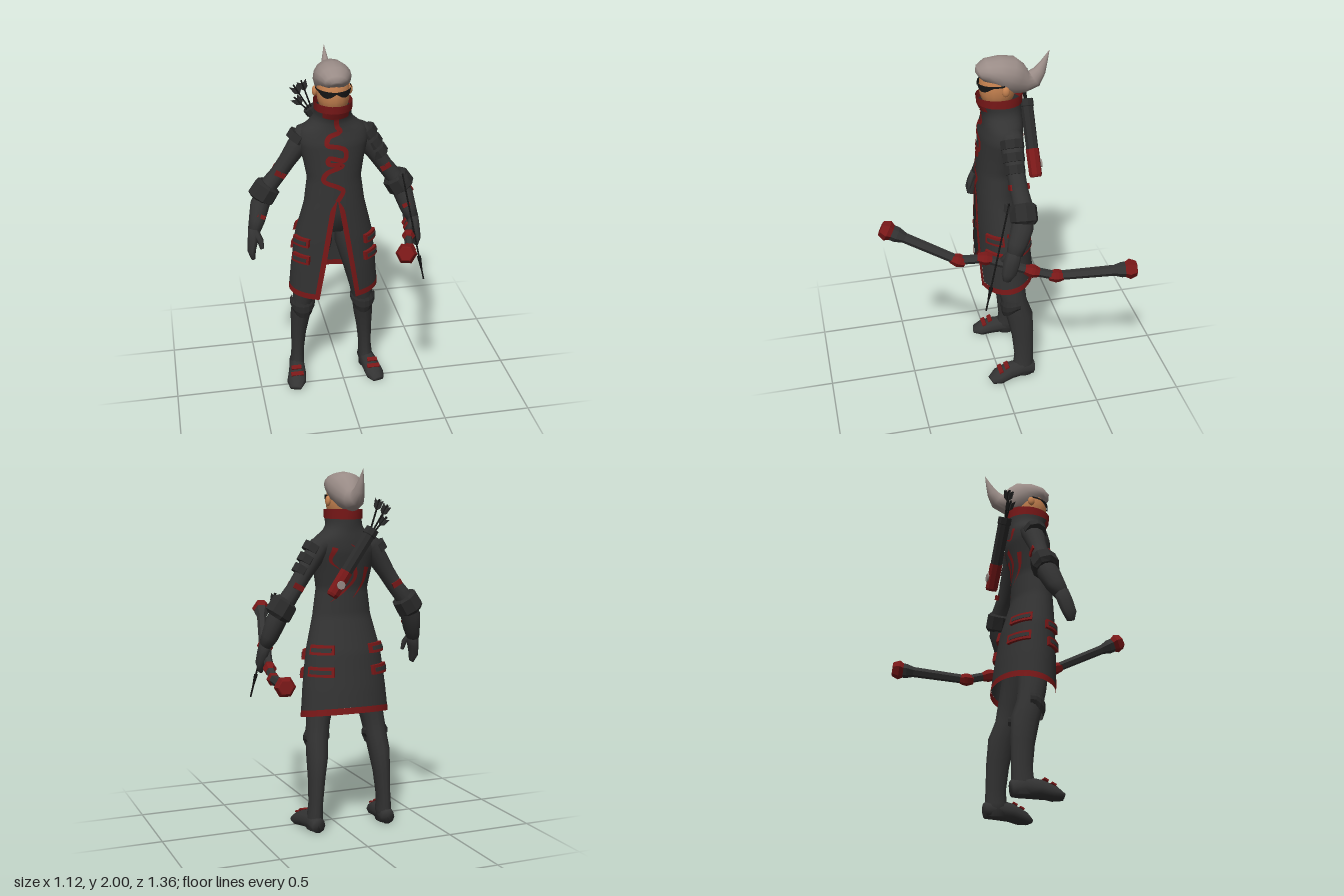
import * as THREE from 'three';
import { mergeVertices } from 'three/addons/utils/BufferGeometryUtils.js';

const mat = (name, color) => Object.assign(new THREE.MeshStandardMaterial({ color, side: THREE.DoubleSide }), { name });
const V = (x, y, z) => new THREE.Vector3(x, y, z);
const lerp = THREE.MathUtils.lerp;

// Surface from a rule fn(u, v) -> Vector3
function grid(fn, nu, nv, flat = false) {
  const pos = [], idx = [];
  for (let j = 0; j <= nv; j++) for (let i = 0; i <= nu; i++) pos.push(...fn(i / nu, j / nv, i, j).toArray());
  for (let j = 0; j < nv; j++) for (let i = 0; i < nu; i++) {
    const a = j * (nu + 1) + i, b = a + nu + 1;
    idx.push(a, b, a + 1, a + 1, b, b + 1);
  }
  let g = new THREE.BufferGeometry();
  g.setAttribute('position', new THREE.Float32BufferAttribute(pos, 3));
  g.setIndex(idx);
  g = flat ? g.toNonIndexed() : mergeVertices(g, 1e-5);
  g.computeVertexNormals();
  return g;
}

// Closed limb through rings [x, y, z, r1, r2]
function limb(rings, sides = 10, flat = false, minY = -9) {
  const P = rings.map(r => V(r[0], r[1], r[2])), n = P.length;
  const d = P[n - 1].clone().sub(P[0]);
  const ref = Math.abs(d.y) > Math.hypot(d.x, d.z) ? V(0, 0, 1) : V(0, 1, 0);
  return grid((u, v, i, j) => {
    const k = Math.min(Math.max(j - 1, 0), n - 1), end = j === 0 || j === n + 1;
    const t = P[Math.min(k + 1, n - 1)].clone().sub(P[Math.max(k - 1, 0)]).normalize();
    const a = t.clone().cross(ref).normalize(), b = a.clone().cross(t);
    const ang = (i % sides) / sides * Math.PI * 2, r1 = end ? 0 : rings[k][3], r2 = end ? 0 : rings[k][4] ?? r1;
    const p = P[k].clone().addScaledVector(a, Math.cos(ang) * r1).addScaledVector(b, Math.sin(ang) * r2);
    p.y = Math.max(p.y, minY);
    return p;
  }, sides, n + 1, flat);
}

// Coat profile: y, half width, front z, back z
const PROFILE = [[1.79, .101, .09, -.16], [1.74, .099, .085, -.155], [1.70, .1, .065, -.155], [1.67, .12, .06, -.155], [1.62, .185, .065, -.16],
  [1.56, .195, .08, -.16], [1.45, .168, .087, -.14], [1.35, .15, .092, -.122], [1.2, .17, .1, -.13], [1.0, .22, .105, -.185],
  [.8, .245, .105, -.215], [.6, .262, .1, -.237]];
function profile(y) {
  let i = 0;
  while (i < PROFILE.length - 2 && PROFILE[i + 1][0] > y) i++;
  const A = PROFILE[i], B = PROFILE[i + 1], t = (A[0] - y) / (A[0] - B[0]);
  return [1, 2, 3].map(k => lerp(A[k], B[k], t));
}
function coatPoint(th, y, off = 0) {
  const [rx, f, b] = profile(y);
  return V((rx + off) * Math.sin(th), y, (f + b) / 2 + ((f - b) / 2 + off) * Math.cos(th));
}
const TAU = Math.PI * 2, APEX = 1.25;
const gap = y => y > APEX ? 0 : Math.asin(.105 * (APEX - y) / .63 / profile(y)[0]);
const trim = y => y > APEX ? 0 : Math.min(1, (APEX - y) / .06) * .028 / profile(y)[0];
const hem = th => .645 - .025 * Math.cos(th);

// Raised pad following the coat
const coatPad = (t0, t1, y0, y1, h) => grid((u, v, i, j) =>
  coatPoint(lerp(t0, t1, THREE.MathUtils.clamp((i - 1) / 6, 0, 1)), lerp(y0, y1, THREE.MathUtils.clamp(j - 1, 0, 1)),
    i === 0 || i === 8 || j === 0 || j === 3 ? -.005 : h), 8, 3, true);

// Painted stroke on the coat, tapering if asked
function stroke(pts, width, back, taper) {
  const c = new THREE.CatmullRomCurve3(pts.map(p => V(p[0], p[1], 0)), false, 'centripetal');
  return grid((u, v) => {
    const p = c.getPoint(v), t = c.getTangent(v), w = (u - .5) * width * (taper ? 1.05 - v : 1);
    const x = p.x - t.y * w, y = p.y + t.x * w;
    const a = Math.asin(THREE.MathUtils.clamp(x / profile(y)[0], -1, 1));
    return coatPoint(back ? Math.PI - a : a, y, .005);
  }, 2, pts.length * 6);
}

export function createModel() {
  const dark = mat('charcoal cloth', 0x333333), red = mat('dark red', 0x7a1818), hair = mat('ash hair', 0x9a8c87);
  const skin = mat('skin', 0xc68250), black = mat('black', 0x151515), armour = mat('dark armour', 0x2b2b2b);
  const root = new THREE.Group(), figure = new THREE.Group();
  figure.name = 'figure';
  figure.position.x = -.05;
  root.add(figure);
  const add = (name, geo, m, parent = figure) => {
    const o = new THREE.Mesh(geo, m);
    o.name = name;
    parent.add(o);
    return o;
  };

  // Coat with open front, red edges, hem and collar
  add('coat', grid((u, v) => {
    const th = u * TAU, y = lerp(1.74, hem(th) + .035, v), g = gap(y) + trim(y);
    return coatPoint(lerp(g, TAU - g, u), y);
  }, 40, 48), dark);
  for (const s of [1, -1]) add('frontTrim', grid((u, v) => {
    const y = lerp(APEX, hem(0) + .033, v);
    return coatPoint(s * (gap(y) + u * (trim(y) + .01)), y, .002);
  }, 2, 24), red);
  add('hemTrim', grid((u, v) => {
    const y = hem(u * TAU) + .035 * (1 - v), g = gap(y);
    return coatPoint(lerp(g, TAU - g, u), y, .001);
  }, 40, 1), red);
  add('collar', grid((u, v) => coatPoint(u * TAU, lerp(1.785, 1.735, v) + .006 * Math.cos(u * TAU) * (v - .5), .004), 24, 1), red);
  add('collarFront', grid((u, v) => coatPoint(lerp(-.75, .75, u), lerp(1.74, 1.70 + .02 * Math.abs(u - .5), v), .004), 8, 2), red);
  add('chestRibbon', stroke([[0, 1.72], [.005, 1.66], [.02, 1.635], [-.04, 1.605], [-.05, 1.565], [.01, 1.55], [.045, 1.53], [.04, 1.475],
    [-.04, 1.49], [-.045, 1.46], [.03, 1.445], [-.055, 1.405], [-.07, 1.36], [.0, 1.325], [.03, 1.3], [0, 1.24]], .026), red);
  for (const p of [[[0, 1.52], [-.03, 1.42], [.03, 1.34], [.1, 1.28]], [[.02, 1.46], [.02, 1.39], [.1, 1.34]],
    [[-.08, 1.63], [-.05, 1.57], [.01, 1.6]], [[.09, 1.58], [.11, 1.51], [.06, 1.46]], [[-.1, 1.47], [-.08, 1.38], [-.02, 1.3]]])
    add('backStroke', stroke(p, .03, true, true), red);
  for (const s of [1, -1]) for (const [a, b, yy] of [[.75, 1.4, .98], [.7, 1.3, .875], [1.9, 2.65, 1.02], [1.9, 2.65, .9]]) {
    add('strapBorder', coatPad(s * a, s * b, yy + .026, yy - .026, .018), red);
    add('strapInset', coatPad(s * (a + .07), s * (b - .07), yy + .011, yy - .011, .021), dark);
  }
  add('pelvis', limb([[0, 1.36, -.02, .11, .08], [0, 1.15, -.03, .13, .085], [0, 1.03, -.05, .12, .08]]), dark);

  // Head, hair, glasses
  const ball = (x, y, z, rx, ry, rz) => new THREE.SphereGeometry(1, 16, 12).scale(rx, ry, rz).translate(x, y, z);
  add('head', ball(0, 1.83, -.025, .09, .13, .1), skin);
  add('neck', limb([[0, 1.76, -.04, .06], [0, 1.64, -.05, .07]]), skin);
  add('hair', limb([[0, 1.9, .08, .03, .02], [0, 1.908, .07, .06, .043], [0, 1.919, .035, .085, .062], [0, 1.912, -.02, .099, .08],
    [0, 1.888, -.08, .1, .1], [0, 1.86, -.13, .082, .088], [0, 1.84, -.18, .055, .065], [0, 1.848, -.225, .04, .052],
    [0, 1.89, -.256, .028, .034], [0, 1.94, -.28, .015, .018], [0, 2, -.305, .001]], 16), hair);
  for (const s of [1, -1]) {
    add('ear', ball(s * .096, 1.83, -.05, .014, .028, .02), skin);
    add('lens', grid((u, v) => {
      const th = s * u * 1.75, h = .006 + .016 * Math.sin(Math.PI * Math.min(1, u * 1.5));
      return V(.096 * Math.sin(th), 1.857 + .008 * u - v * h * 1.7, -.025 + .108 * Math.cos(th));
    }, 10, 2), black);
  }

  // Arms and legs, built on one side and mirrored
  for (const s of [1, -1]) {
    const side = new THREE.Group();
    side.name = s > 0 ? 'leftLimbs' : 'rightLimbs';
    side.scale.x = s;
    figure.add(side);
    const part = (name, geo, m) => add(name, geo, m, side);
    part('arm', limb([[.1, 1.61, -.065, .05, .06], [.15, 1.585, -.065, .06, .068], [.2, 1.51, -.065, .056, .06], [.25, 1.435, -.068, .048, .05],
      [.3, 1.36, -.072, .045, .05], [.37, 1.27, -.085, .05, .055], [.41, 1.18, -.065, .055, .062], [.433, 1.1, -.035, .046, .055],
      [.452, 1.05, -.015, .036, .045]], 12), dark);
    part('hand', limb([[.45, 1.06, -.012, .036, .042], [.463, 1, .005, .03, .047], [.474, .94, .02, .023, .042], [.468, .895, .03, .012, .022]], 8), dark);
    part('thumb', limb([[.45, 1.06, .012, .02], [.425, 1.01, .04, .018], [.418, .965, .052, .011]], 6), dark);
    part('cuff', limb([[.352, 1.295, -.08, .058, .06], [.36, 1.285, -.08, .077, .075], [.402, 1.22, -.078, .08, .076], [.41, 1.207, -.076, .055, .06]], 8, true), armour);
    // Shoulder plates: three on the left, one on the right
    for (const [x, y, r] of s > 0 ? [[.188, 1.57, .064], [.222, 1.51, .06], [.256, 1.455, .055]] : [[.188, 1.57, .064]])
      part('armPlate', limb([[x - .012, y + .018, -.062, r, r], [x + .014, y - .02, -.062, r - .002, r]], 8, true), armour);
    for (const z of [-.026, -.122]) {
      const b = part('elbowStripe', new THREE.BoxGeometry(.06, .03, .009), red);
      b.position.set(.295, 1.37, z);
      b.rotation.z = .5;
    }
    const f = part('forearmStripe', new THREE.BoxGeometry(.045, .022, .009), red);
    f.position.set(.41, 1.14, .004);
    f.rotation.set(-.3, 0, .5);

    part('leg', limb([[.07, 1.08, -.05, .06, .08], [.09, .95, -.05, .085, .095], [.13, .78, -.05, .075, .09], [.165, .62, -.072, .066, .08],
      [.18, .52, -.09, .062, .072], [.19, .42, -.12, .058, .077], [.2, .3, -.135, .046, .066], [.208, .16, -.142, .038, .058],
      [.212, .08, -.138, .042, .062], [.215, .01, -.135, .044, .066]], 12), dark);
    part('foot', limb([[.213, .04, -.2, .04, .045], [.216, .05, -.13, .045, .06], [.226, .045, -.05, .052, .052],
      [.24, .025, .02, .057, .042], [.252, .012, .068, .035, .018]], 10, false, 0), dark);
    part('kneePad', grid((u, v) => {
      const th = lerp(-1.9, 1.9, u), c = Math.max(0, Math.cos(th)), r = v === 0 || v === 1 ? .062 : .074;
      return V(.18 + r * Math.sin(th), lerp(.56, .5 - .06 * c, v), -.085 + (r + .004) * Math.cos(th));
    }, 10, 3, true), armour);
    for (const [z, y, w] of [[-.03, .094, .06], [.008, .073, .075]]) {
      const b = part('footStripe', new THREE.BoxGeometry(w, .009, .026), red);
      b.position.set(.233, y, z);
      b.rotation.x = .45;
    }
  }

  // Bow: dark limbs with red joints and ends
  const bow = new THREE.Group();
  bow.name = 'bow';
  root.add(bow);
  const N = [[.205, 1.175, .635], [.315, 1, .275], [.345, 1.01, .135], [.385, .97, 0], [.412, .935, -.11], [.437, .9, -.24], [.515, .935, -.635]].map(p => V(...p));
  const between = (a, b, rs) => rs.map(([t, r]) => [...a.clone().lerp(b, t).toArray(), r]);
  for (let i = 0; i < 6; i++) {
    const rs = i === 0 ? [[0, .042], [.14, .042], [.25, .028], [1, .026]] : i === 5 ? [[0, .026], [.78, .03], [.88, .042], [1, .042]] : [[0, .025], [1, .025]];
    add('bowLimb', limb(between(N[i], N[i + 1], rs), 6, true), dark, bow);
  }
  for (const i of [1, 2, 4, 5]) {
    const d = N[i + 1].clone().sub(N[i - 1]).setLength(.04);
    add('bowJoint', limb(between(N[i].clone().sub(d), N[i].clone().add(d), [[0, .026], [.45, .037], [.65, .036], [1, .026]]), 6, true), red, bow);
  }
  for (const [i, k] of [[0, 1], [6, 5]]) {
    const d = N[i].clone().sub(N[k]).setLength(.05);
    add('bowEnd', limb(between(N[i].clone().sub(d), N[i].clone().add(d), [[0, .03], [.45, .056], [.8, .042], [.84, .036]]), 6, true), red, bow);
  }

  // Arrow with crossed feathers at its upper end and a pointed head if asked
  function arrow(parent, a, b, tip) {
    const g = new THREE.Group(), L = a.distanceTo(b);
    g.name = 'arrow';
    g.position.copy(a);
    g.quaternion.setFromUnitVectors(V(0, 1, 0), b.clone().sub(a).normalize());
    parent.add(g);
    add('shaft', new THREE.CylinderGeometry(.005, .005, L, 6).translate(0, L / 2, 0), black, g);
    const s = new THREE.Shape([[0, -.035], [.022, -.015], [.027, .03], [0, .01], [-.027, .03], [-.022, -.015]].map(p => new THREE.Vector2(...p)));
    for (const r of [0, Math.PI / 2]) add('feather', new THREE.ShapeGeometry(s).translate(0, L - .03, 0).rotateY(r), armour, g);
    if (tip) add('arrowHead', new THREE.ConeGeometry(.012, .14, 4).rotateX(Math.PI).translate(0, .07, 0), black, g);
  }
  arrow(root, V(.438, .73, .15), V(.335, 1.33, 0), true);

  // Quiver slung across the back
  const quiver = new THREE.Group();
  quiver.name = 'quiver';
  root.add(quiver);
  const q0 = V(.09, 1.325, -.21), q1 = V(-.15, 1.68, -.21);
  add('quiverTube', limb(between(q0, q1, [[.36, .034], [.9, .036], [.91, .04], [1, .04]]), 8, true), armour, quiver);
  add('quiverBase', limb(between(q0, q1, [[0, .03], [.03, .036], [.36, .037]]), 8, true), red, quiver);
  const patch = add('quiverPatch', new THREE.CylinderGeometry(.024, .024, .008, 8).rotateX(Math.PI / 2), hair, quiver);
  patch.position.set(.05, 1.385, -.247);
  for (const [x, y, z] of [[-.195, 1.84, -.2], [-.235, 1.81, -.22], [-.235, 1.745, -.205]])
    arrow(quiver, V(-.12, 1.62, -.21), V(x, y, z), false);
  return root;
}
